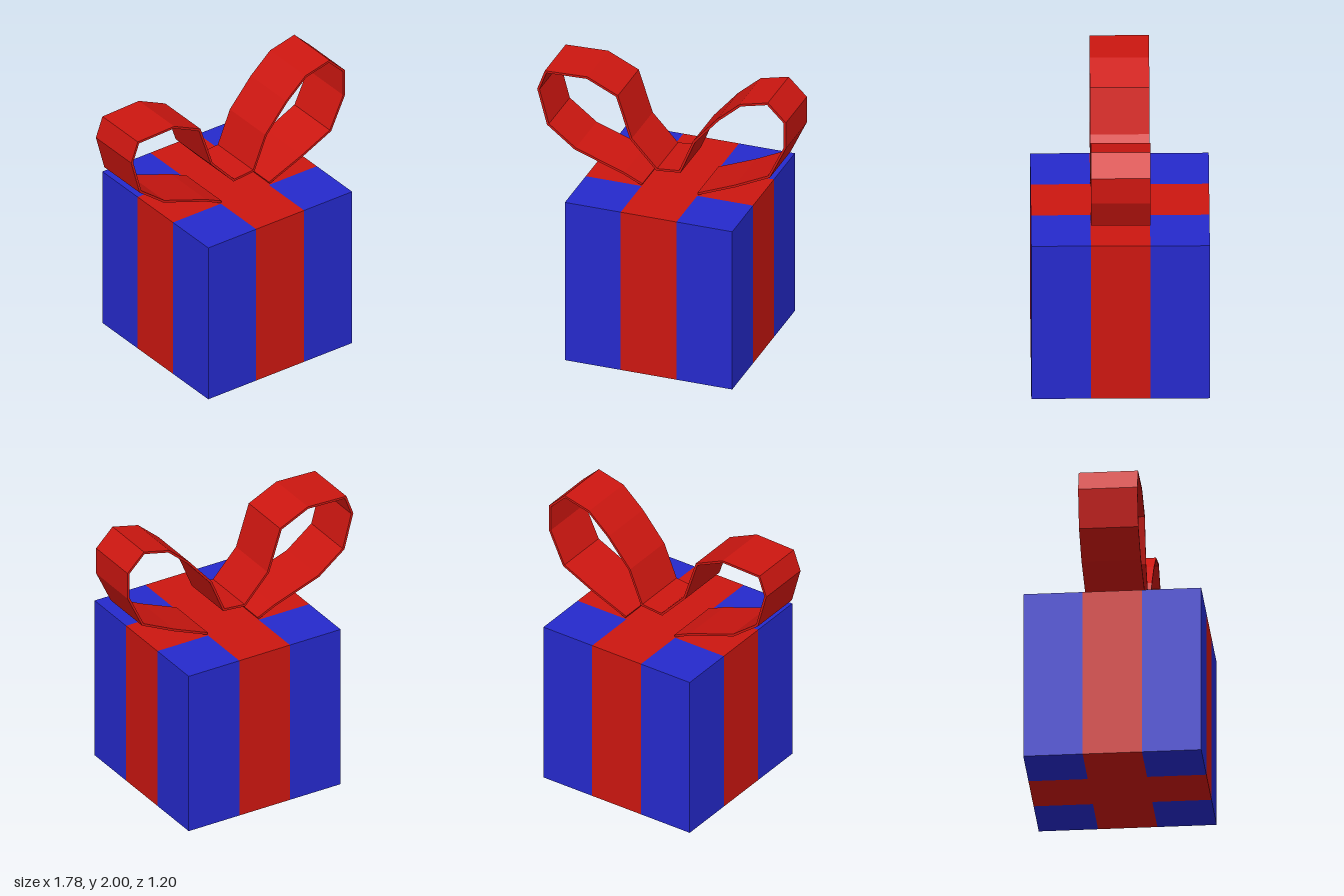
import * as THREE from 'three';
import { mergeGeometries } from 'three/addons/utils/BufferGeometryUtils.js';

const SIZE = 1.2, BAND = 0.4, CENTER_X = 0.056;
const RIBBON_THICKNESS = 0.016;

// Centre line of the bow, from one loose end around both loops to the other
const BOW_PATH = [
  [-0.14, 1.212], [-0.27, 1.272], [-0.62, 1.395], [-0.815, 1.545], [-0.884, 1.8],
  [-0.832, 1.94], [-0.535, 1.95], [-0.32, 1.85], [-0.22, 1.545], [-0.035, 1.345],
  [0.13, 1.36], [0.232, 1.605], [0.405, 1.805], [0.565, 1.945], [0.76, 1.992],
  [0.884, 1.87], [0.884, 1.68], [0.77, 1.44], [0.53, 1.325], [0.26, 1.215],
].map(([x, y]) => new THREE.Vector2(x, y));

// Polyline shifted sideways by d, with mitred corners
function offsetPath(points, d) {
  const normal = (a, b) => new THREE.Vector2(a.y - b.y, b.x - a.x).normalize();
  return points.map((p, i) => {
    const before = normal(points[Math.max(i - 1, 0)], points[Math.max(i, 1)]);
    const last = points.length - 1;
    const after = normal(points[Math.min(i, last - 1)], points[Math.min(i + 1, last)]);
    const mitre = before.clone().add(after).normalize();
    return p.clone().addScaledVector(mitre, d / mitre.dot(before));
  });
}

export function createModel() {
  const group = new THREE.Group();
  const blue = new THREE.MeshStandardMaterial({ color: 0x2529cc, flatShading: true });
  const red = new THREE.MeshStandardMaterial({ color: 0xcc1610, flatShading: true });
  const wrapPanels = [], bandPanels = [];

  // Four walls: a ribbon band between two strips of wrapping
  for (let side = 0; side < 4; side++) {
    for (let col = -1; col <= 1; col++) {
      const panel = new THREE.PlaneGeometry(BAND, SIZE);
      panel.translate(col * BAND, SIZE / 2, SIZE / 2);
      panel.rotateY(side * Math.PI / 2);
      (col === 0 ? bandPanels : wrapPanels).push(panel);
    }
  }

  // Lid and base: the bands cross in the middle
  for (const up of [1, -1]) {
    for (let col = -1; col <= 1; col++) {
      for (let row = -1; row <= 1; row++) {
        const panel = new THREE.PlaneGeometry(BAND, BAND);
        panel.rotateX(-up * Math.PI / 2);
        panel.translate(col * BAND, up > 0 ? SIZE : 0, row * BAND);
        (col === 0 || row === 0 ? bandPanels : wrapPanels).push(panel);
      }
    }
  }

  const addMesh = (name, geometry, material) => {
    const mesh = new THREE.Mesh(geometry, material);
    mesh.name = name;
    group.add(mesh);
    return mesh;
  };
  addMesh('giftBox', mergeGeometries(wrapPanels), blue).position.x = CENTER_X;
  addMesh('ribbonBands', mergeGeometries(bandPanels), red).position.x = CENTER_X;

  // Bow: one long strip of ribbon folded into two loops
  const half = RIBBON_THICKNESS / 2;
  const outline = new THREE.Shape([
    ...offsetPath(BOW_PATH, half),
    ...offsetPath(BOW_PATH, -half).reverse(),
  ]);
  const bow = new THREE.ExtrudeGeometry(outline, { depth: BAND, bevelEnabled: false });
  bow.translate(0, 0, -BAND / 2);
  addMesh('bow', bow, red);

  return group;
}
